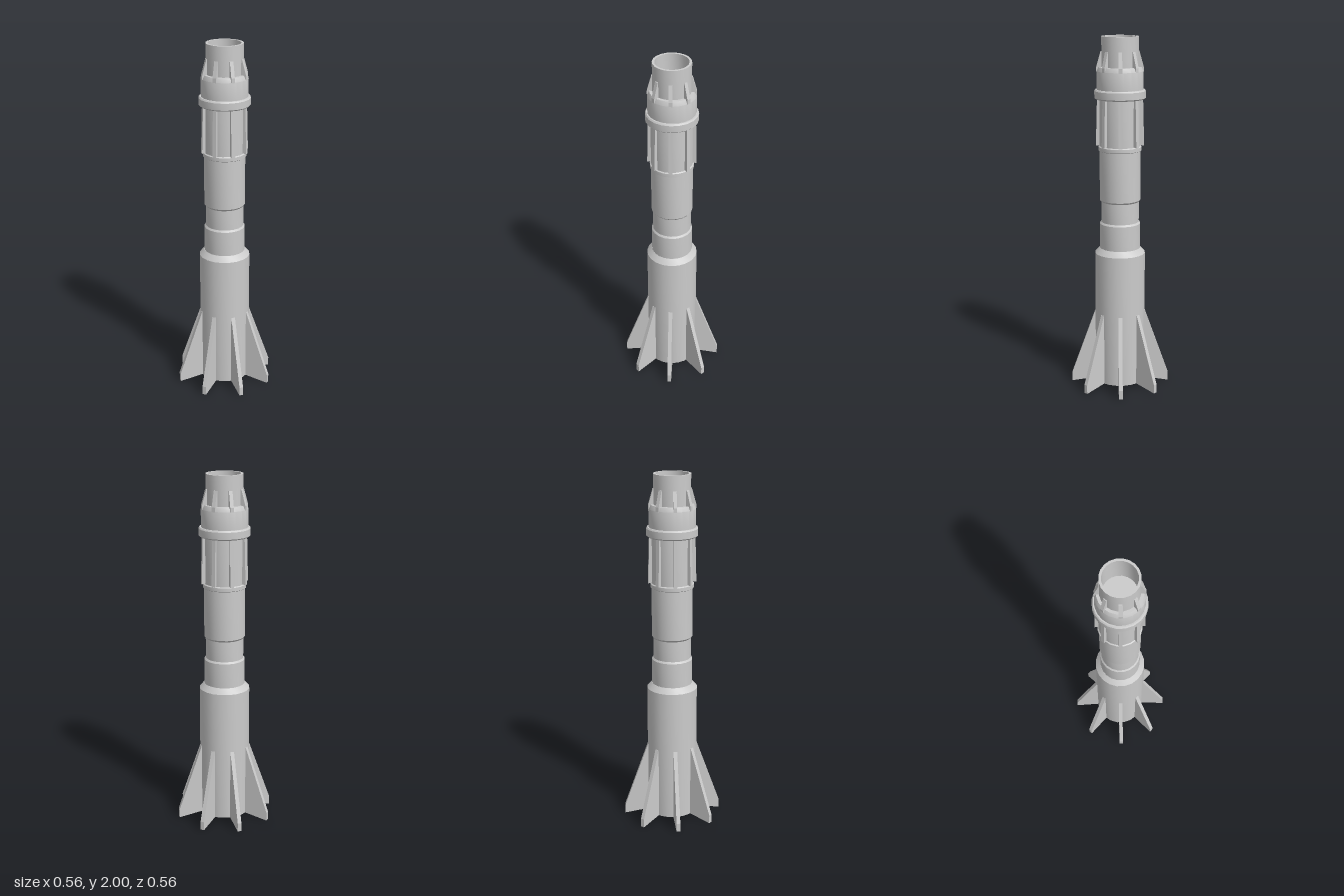
import * as THREE from 'three';
import { toCreasedNormals } from 'three/addons/utils/BufferGeometryUtils.js';

const SIDES = 20;
const COUNT = 8;
const material = new THREE.MeshStandardMaterial({ color: 0xcccccc });
const points = (list) => list.map(([x, y]) => new THREE.Vector2(x, y));

// Turned section with crisp steps and smooth walls
function turned(name, profile) {
  const geometry = toCreasedNormals(new THREE.LatheGeometry(points(profile), SIDES), 0.45);
  const mesh = new THREE.Mesh(geometry, material);
  mesh.name = name;
  return mesh;
}

// Ring of flat plates; the outline is given as [radius, height]
function plateRing(name, outline, thickness) {
  const ring = new THREE.Group();
  ring.name = name + 's';
  const geometry = new THREE.ExtrudeGeometry(new THREE.Shape(points(outline)), {
    depth: thickness, bevelEnabled: false,
  });
  geometry.translate(0, 0, -thickness / 2);
  for (let i = 0; i < COUNT; i++) {
    const plate = new THREE.Mesh(geometry, material);
    plate.name = name;
    plate.rotation.y = (i / COUNT) * Math.PI * 2;
    ring.add(plate);
  }
  return ring;
}

export function createModel() {
  const model = new THREE.Group();
  model.name = 'rocket';

  // Wide lower stage with a sloped shoulder
  model.add(turned('lowerStage', [
    [0, 0.02], [0.143, 0.02], [0.143, 0.785], [0.116, 0.815], [0, 0.815],
  ]));

  // Middle stage with a narrow waist
  model.add(turned('middleStage', [
    [0.115, 0.81], [0.115, 0.957], [0.107, 0.967], [0.107, 1.083],
    [0.115, 1.093], [0.115, 1.372],
  ]));

  // Ribbed upper stage between a thin lower band and a collar
  model.add(turned('upperStage', [
    [0.113, 1.37], [0.121, 1.375], [0.121, 1.395], [0.115, 1.4], [0.115, 1.66],
    [0.135, 1.66], [0.143, 1.667], [0.143, 1.705], [0.137, 1.713], [0.13, 1.713],
    [0.13, 1.812], [0.119, 1.835], [0.1, 1.835],
  ]));

  // Open tube at the top, with a floor deep inside
  model.add(turned('topTube', [
    [0.103, 1.82], [0.103, 2], [0.09, 2], [0.09, 1.83], [0, 1.83],
  ]));

  // Large tail fins
  model.add(plateRing('tailFin', [
    [0.12, 0.022], [0.143, 0.02], [0.28, 0], [0.28, 0.05], [0.143, 0.435], [0.12, 0.435],
  ], 0.022));

  // Long ribs below the collar, standing out further at their lower end
  model.add(plateRing('rib', [
    [0.105, 1.405], [0.134, 1.4], [0.127, 1.662], [0.105, 1.662],
  ], 0.02));

  // Small braces around the top tube
  model.add(plateRing('brace', [
    [0.095, 1.81], [0.13, 1.81], [0.13, 1.835], [0.106, 1.92], [0.095, 1.92],
  ], 0.02));

  return model;
}
